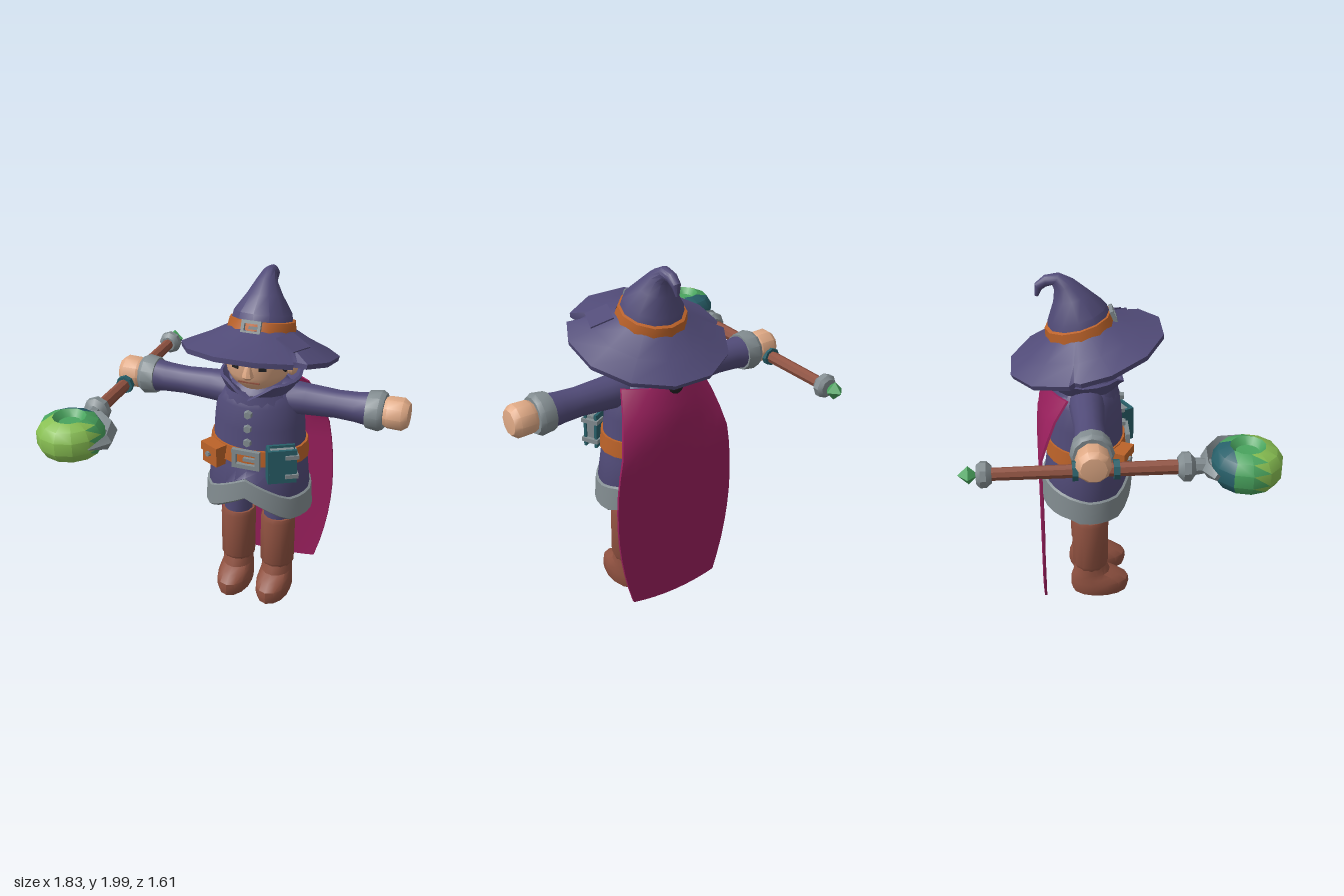
import * as THREE from 'three';
import { toCreasedNormals } from 'three/addons/utils/BufferGeometryUtils.js';

const mat = (name, color) => Object.assign(new THREE.MeshStandardMaterial({ color }), { name });
const V2 = (p) => p.map(([r, h]) => new THREE.Vector2(r, h));

function add(parent, name, geo, material, pos = [0, 0, 0], rot = [0, 0, 0]) {
  const m = new THREE.Mesh(toCreasedNormals(geo, 0.65), material);
  m.name = name;
  m.position.set(...pos);
  m.rotation.set(...rot);
  parent.add(m);
  return m;
}
function group(parent, name, pos = [0, 0, 0], rot = [0, 0, 0]) {
  const g = new THREE.Group();
  g.name = name;
  g.position.set(...pos);
  g.rotation.set(...rot);
  parent.add(g);
  return g;
}

// Ellipse cross-section; angle 0 faces the front, tilt lifts the front edge
const ring = (y, rx, rz = rx, z = 0, tilt = 0) => (a) =>
  [rx * Math.sin(a), y + rz * Math.cos(a) * Math.sin(tilt), z + rz * Math.cos(a) * Math.cos(tilt)];

// Skin a list of cross-section functions, with optional end caps
function loft(rings, n = 16, caps = true) {
  const angles = Array.isArray(n) ? n : Array.from({ length: n }, (_, i) => (i / n) * Math.PI * 2);
  const N = angles.length, pos = [], idx = [];
  rings.forEach((f) => angles.forEach((a) => pos.push(...f(a))));
  for (let j = 0; j < rings.length - 1; j++) for (let i = 0; i < N; i++) {
    const a = j * N + i, b = j * N + (i + 1) % N;
    idx.push(a, b, b + N, a, b + N, a + N);
  }
  if (caps) [0, rings.length - 1].forEach((j) => {
    const c = [0, 0, 0];
    for (let i = 0; i < N; i++) for (let k = 0; k < 3; k++) c[k] += pos[(j * N + i) * 3 + k] / N;
    const ci = pos.length / 3;
    pos.push(...c);
    for (let i = 0; i < N; i++) {
      const a = j * N + i, b = j * N + (i + 1) % N;
      if (j) idx.push(ci, a, b); else idx.push(ci, b, a);
    }
  });
  const g = new THREE.BufferGeometry();
  g.setAttribute('position', new THREE.Float32BufferAttribute(pos, 3));
  g.setIndex(idx);
  return g;
}
const lathe = (pts, n = 12) => new THREE.LatheGeometry(V2(pts), n);
const box = (w, h, d) => new THREE.BoxGeometry(w, h, d);

// Rectangular buckle frame
function frame(w, h, t, d) {
  const rect = (P, w, h) => new P(V2([[-w, -h], [w, -h], [w, h], [-w, h]]));
  const s = rect(THREE.Shape, w / 2, h / 2);
  s.holes.push(rect(THREE.Path, w / 2 - t, h / 2 - t));
  return new THREE.ExtrudeGeometry(s, { depth: d, bevelEnabled: false });
}
// Linear lookup in a table of [key, value]
function lerpTable(t, x) {
  for (let i = 1; i < t.length; i++) if (x <= t[i][0]) {
    return THREE.MathUtils.mapLinear(x, t[i - 1][0], t[i][0], t[i - 1][1], t[i][1]);
  }
  return t[t.length - 1][1];
}
const fromFront = (a) => Math.abs(a > Math.PI ? a - Math.PI * 2 : a);

export function createModel() {
  const purple = mat('purpleCloth', 0x514b78), orange = mat('orangeLeather', 0xbb6229), grey = mat('greyTrim', 0x828c90);
  const skin = mat('skin', 0xdfa985), brown = mat('brownLeather', 0x8f5140), magenta = mat('magentaCape', 0x981f5c);
  const teal = mat('teal', 0x28606a), black = mat('blackHair', 0x222224), lime = mat('limeGlow', 0x88bf52), green = mat('green', 0x49a45e);
  const root = new THREE.Group();
  root.name = 'wizard';
  const body = group(root, 'body', [0.055, 0, 0]);
  const C = -0.145;

  // Legs and boots
  for (const s of [-1, 1]) {
    const leg = group(body, s > 0 ? 'leftLeg' : 'rightLeg', [s * 0.125, 0, 0]);
    add(leg, 'trouser', loft([ring(0.48, 0.085, 0.085, -0.13), ring(0.76, 0.09, 0.09, -0.13)], 12), purple);
    add(leg, 'bootShaft', loft([ring(0.18, 0.09, 0.09, -0.13), ring(0.21, 0.103, 0.105, -0.13),
      ring(0.5, 0.105, 0.107, -0.13), ring(0.525, 0.098, 0.1, -0.13)], 12), brown);
    add(leg, 'bootFoot', loft([ring(0, 0.095, 0.165, -0.075), ring(0.04, 0.105, 0.175, -0.075), ring(0.08, 0.104, 0.172, -0.077),
      ring(0.115, 0.098, 0.145, -0.1), ring(0.14, 0.093, 0.11, -0.125), ring(0.2, 0.09, 0.093, -0.13)], 14), brown);
  }

  // Robe with a hem that rises to a point at the front
  const peak = (a) => Math.max(0, 1 - fromFront(a) / 0.85);
  const hemLow = (a) => 0.585 + 0.145 * peak(a) + (fromFront(a) > 2 ? 0.02 : 0);
  const hemTop = (a) => 0.74 + 0.125 * peak(a) + 0.05 * Math.max(0, -Math.cos(a));
  const hem = (yf, rx, rz) => (a) => [rx * Math.sin(a), yf(a), -0.14 + rz * Math.cos(a)];
  add(body, 'robe', loft([hem((a) => hemLow(a) + 0.06, 0.275, 0.22), hem(hemTop, 0.3, 0.245), ring(0.9, 0.285, 0.225, C),
    ring(1.0, 0.272, 0.215, C), ring(1.15, 0.262, 0.208, C), ring(1.28, 0.245, 0.195, C),
    ring(1.36, 0.2, 0.165, C), ring(1.4, 0.13, 0.12, C)], 28), purple);
  add(body, 'hemTrim', loft([hem((a) => hemLow(a) + 0.05, 0.27, 0.215), hem(hemLow, 0.295, 0.24), hem((a) => hemLow(a) + 0.015, 0.32, 0.262),
    hem((a) => hemTop(a) - 0.01, 0.312, 0.257), hem(hemTop, 0.295, 0.24)], 28, false), grey);
  for (const y of [1.08, 1.165, 1.25]) {
    add(body, 'button', new THREE.CylinderGeometry(0.022, 0.028, 0.035, 6), grey, [0, y, 0.067 - (y - 1.08) * 0.06], [Math.PI / 2, 0, 0]);
  }

  // Belt, buckle, pouch and book
  add(body, 'belt', loft([ring(0.94, 0.275, 0.215, C), ring(0.94, 0.292, 0.232, C), ring(1.035, 0.284, 0.225, C), ring(1.035, 0.265, 0.21, C)], 20, false), orange);
  add(body, 'beltBuckle', frame(0.165, 0.115, 0.026, 0.025), grey, [0, 0.985, 0.08]);
  add(body, 'bucklePin', box(0.09, 0.02, 0.02), grey, [0.03, 0.985, 0.092]);
  const pouch = group(body, 'pouch', [-0.205, 0.965, 0.045], [0, -0.5, 0]);
  add(pouch, 'pouchBag', box(0.12, 0.1, 0.08), orange, [0, -0.01, 0]);
  add(pouch, 'pouchFlap', box(0.135, 0.05, 0.095), orange, [0, 0.04, 0]);
  add(pouch, 'pouchStud', new THREE.CylinderGeometry(0.016, 0.016, 0.02, 8), grey, [0, 0.01, 0.05], [Math.PI / 2, 0, 0]);
  const book = group(body, 'book', [0.205, 0.985, 0.07], [0, 0.5, 0]);
  add(book, 'pages', box(0.135, 0.175, 0.05), grey);
  for (const z of [-0.033, 0.033]) add(book, 'cover', box(0.155, 0.205, 0.016), teal, [0, 0, z]);
  add(book, 'spine', box(0.016, 0.205, 0.08), teal, [-0.077, 0, 0]);
  for (const y of [-0.06, 0.06]) add(book, 'clasp', box(0.075, 0.024, 0.1), grey, [0.05, y, 0]);

  // Collar, open in a V at the front and high at the back
  const collarY = [[0, 1.34], [0.6, 1.42], [1.6, 1.42], [3.2, 1.47]];
  const collar = (k, dy) => (a) => [0.235 * k * Math.sin(a), lerpTable(collarY, fromFront(a)) + dy, -0.165 + 0.24 * k * Math.cos(a)];
  add(body, 'collar', loft([ring(1.29, 0.235, 0.19, C), ring(1.35, 0.2, 0.18, C), collar(1, 0), collar(0.93, 0.006), ring(1.34, 0.13, 0.13, C)], 20, false), purple);

  // Arms, mirrored
  for (const s of [1, -1]) {
    const arm = group(body, s > 0 ? 'leftArm' : 'rightArm', [0, 1.3, C]);
    arm.scale.x = s;
    const rot = [0, 0, -Math.PI / 2];
    add(arm, 'sleeve', lathe([[0, 0.12], [0.1, 0.14], [0.09, 0.28], [0.08, 0.45], [0.085, 0.56], [0.095, 0.64]], 14), purple, [0, 0, 0], rot);
    add(arm, 'cuff', lathe([[0.08, 0.625], [0.105, 0.625], [0.114, 0.695], [0.1, 0.72], [0, 0.72]], 12), grey, [0, 0, 0], rot);
    add(arm, 'hand', lathe([[0, 0.7], [0.075, 0.71], [0.09, 0.74], [0.092, 0.82], [0.068, 0.852], [0, 0.86]], 10), skin, [0, 0, 0], rot);
  }

  // Cape
  const cape = new THREE.BoxGeometry(1, 1, 0.014, 8, 12, 1), p = cape.attributes.position;
  for (let i = 0; i < p.count; i++) {
    const u = p.getX(i), t = 0.5 - p.getY(i), mid = 1 - 4 * u * u;
    const z = -0.25 - 0.155 * Math.pow(Math.min(1, t / 0.25), 0.7) - (0.1 * Math.max(0, 1 - t * 4) + 0.008) * mid;
    p.setXYZ(i, 2 * u * (0.25 + 0.48 * t - 0.45 * t * t), 1.36 - 1.285 * t - 0.025 * mid * t, z + p.getZ(i));
  }
  add(body, 'cape', cape, magenta);

  // Head and face
  const head = group(body, 'head', [0, 0, -0.125]);
  add(head, 'face', loft([ring(1.33, 0.09), ring(1.39, 0.115, 0.13), ring(1.42, 0.15, 0.168), ring(1.47, 0.18, 0.188),
    ring(1.58, 0.185, 0.19), ring(1.66, 0.17, 0.17, 0, 0.25)], 20), skin);
  add(head, 'nose', loft([ring(1.465, 0.015, 0.01, 0.19), ring(1.485, 0.034, 0.035, 0.188), ring(1.51, 0.026, 0.03, 0.188), ring(1.56, 0.012, 0.01, 0.185)], 8), skin);
  add(head, 'mouth', box(0.12, 0.008, 0.008), brown, [0, 1.442, 0.175]);
  for (const s of [-1, 1]) {
    add(head, 'ear', new THREE.SphereGeometry(1, 10, 8).scale(0.035, 0.055, 0.04), skin, [s * 0.19, 1.5, 0.0]);
    add(head, 'eye', box(0.042, 0.052, 0.009), black, [s * 0.078, 1.545, 0.174], [0, s * 0.42, 0]);
    add(head, 'eyebrow', box(0.08, 0.02, 0.009), black, [s * 0.08, 1.598, 0.174], [0, s * 0.42, s * 0.15]);
  }

  // Hair with a centre parting and a small bun
  const hairEdge = [[0, 1.672], [0.5, 1.62], [0.85, 1.58], [1.08, 1.49], [1.3, 1.49], [1.45, 1.55], [1.75, 1.55], [1.9, 1.43], [3.2, 1.4]];
  const hair = (f, r) => (a) => {
    const y0 = lerpTable(hairEdge, fromFront(a)), y1 = 1.67 + 0.042 * Math.cos(a);
    return [r * Math.sin(a), y0 + (y1 - y0) * f, (r + 0.003) * Math.cos(a)];
  };
  add(head, 'hair', loft([hair(0, 0.176), hair(0, 0.195), hair(0.5, 0.2), hair(1, 0.18)], 32), black);
  add(head, 'hairBun', new THREE.SphereGeometry(0.055, 10, 8).scale(0.85, 1.2, 0.85), black, [0, 1.39, -0.265]);

  // Hat: tilted brim with torn notches, band, buckle and patch
  const hat = group(body, 'hat', [0, 1.565, -0.135], [-0.25, 0, 0]);
  const rim = [[15, 0.44], [42, 0.437], [46, 0.37], [49, 0.385], [53, 0.436], [75, 0.44], [105, 0.44], [135, 0.44], [165, 0.44], [195, 0.44],
    [225, 0.44], [255, 0.44], [258, 0.405], [263, 0.432], [285, 0.44], [315, 0.44], [345, 0.44]];
  const rimAngles = rim.map((r) => THREE.MathUtils.degToRad(r[0]));
  const brim = (k, y) => (a) => {
    const r = k * (k > 0.9 ? rim[rimAngles.indexOf(a)][1] : 0.44);
    return [r * Math.sin(a), y, r * Math.cos(a)];
  };
  add(hat, 'brim', loft([brim(0.38, 0.095), brim(0.7, 0.03), brim(0.985, -0.025), brim(1, 0.003), brim(0.7, 0.06), brim(0.43, 0.125)], rimAngles, false), purple);
  add(hat, 'hatBand', loft([ring(0.105, 0.197), ring(0.17, 0.185), ring(0.175, 0.165)], 12, false), orange);
  add(hat, 'hatBuckle', frame(0.11, 0.075, 0.018, 0.02), grey, [0, 0.14, 0.18], [-0.15, 0, 0]);
  add(hat, 'hatBucklePin', box(0.055, 0.014, 0.014), grey, [0.015, 0.14, 0.193]);
  const patch = group(hat, 'patchMount', [0, 0, 0], [0, 1.0, 0]);
  add(patch, 'brimPatch', box(0.15, 0.008, 0.13), purple, [0, 0.085, 0.27], [0.45, 0.25, 0]);
  add(body, 'hatCone', loft([ring(1.68, 0.182, 0.182, -0.165, 0.25), ring(1.77, 0.163, 0.163, -0.18, 0.25), ring(1.86, 0.1, 0.1, -0.21, 0.28),
    ring(1.925, 0.06, 0.06, -0.245, 0.45), ring(1.96, 0.037, 0.037, -0.29, 1.0), ring(1.95, 0.031, 0.031, -0.345, 1.7),
    ring(1.92, 0.025, 0.025, -0.383, 2.4), ring(1.868, 0.01, 0.01, -0.393, 3.0)], 12), purple);

  // Staff, lying along z in the right hand
  const staff = group(root, 'staff', [-0.735, 1.265, 0]);
  const along = [Math.PI / 2, 0, 0];
  add(staff, 'shaft', lathe([[0, -0.66], [0.033, -0.66], [0.038, 0.3], [0, 0.3]], 8), brown, [0, 0, 0], along);
  for (const z of [-0.235, -0.03]) add(staff, 'gripRing', new THREE.CylinderGeometry(0.052, 0.052, 0.03, 8), teal, [0, 0, z], along);
  add(staff, 'frontKnob', lathe([[0, 0.27], [0.05, 0.275], [0.077, 0.3], [0.077, 0.335], [0.045, 0.36], [0.035, 0.44], [0, 0.44]], 8), grey, [0, 0, 0], along);
  add(staff, 'rearKnob', lathe([[0, -0.725], [0.05, -0.72], [0.068, -0.7], [0.068, -0.67], [0.045, -0.645], [0, -0.645]], 8), grey, [0, 0, 0], along);
  add(staff, 'rearCrystal', new THREE.OctahedronGeometry(0.053), green, [0, 0, -0.76]);

  // Glowing orb with dimpled poles, banded in three colours
  const half = [[0.18, 0.035], [0.15, 0.085], [0.09, 0.11], [0.06, 0.075], [0, 0.07]];
  const orb = lathe([...half.map(([r, y]) => [r, -y]).reverse(), ...half], 12).toNonIndexed();
  const op = orb.attributes.position;
  for (let i = 0; i < op.count; i += 3) {
    const z = (op.getZ(i) + op.getZ(i + 1) + op.getZ(i + 2)) / 3;
    const r = Math.hypot((op.getX(i) + op.getX(i + 1) + op.getX(i + 2)) / 3, z);
    orb.addGroup(i, 3, r < 0.085 ? 1 : z > 0.035 ? 0 : z < -0.085 ? 2 : 1);
  }
  add(staff, 'orb', orb, [lime, green, teal], [0, 0, 0.62]);

  // Curved claw holding the orb on one side
  const claw = [[-0.6, 0.2, 0.02], [-0.2, 0.205, 0.045], [0.4, 0.21, 0.06], [1.0, 0.217, 0.06], [1.6, 0.215, 0.045], [2.2, 0.2, 0.004]]
    .map(([th, R, w]) => (a) => {
      const q = R + Math.min(0.028, w) * Math.cos(a);
      return [q * Math.sin(th), w * Math.sin(a), -q * Math.cos(th)];
    });
  add(staff, 'claw', loft(claw, 4), grey, [0, 0, 0.62]);
  return root;
}
